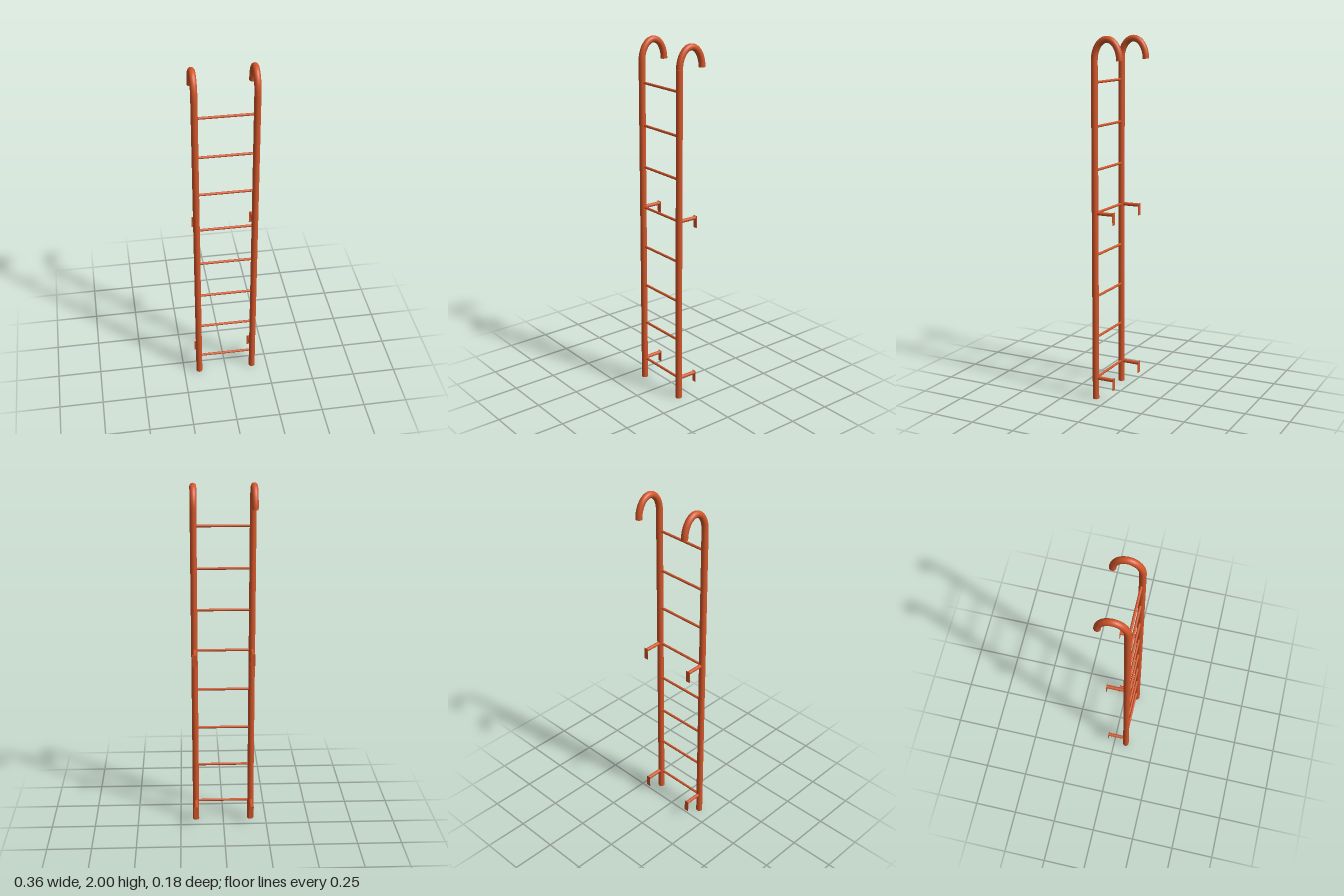
import * as THREE from 'three';

const RAIL_X = 0.16, RAIL_Z = 0.074, RAIL_R = 0.018;
const BEND_Y = 1.872, BEND_H = 0.11;

export function createModel() {
  const ladder = new THREE.Group();
  ladder.name = 'hookLadder';
  const paint = new THREE.MeshStandardMaterial({ color: 0xd2562a });

  const add = (parent, name, geometry, x, y, z) => {
    const mesh = new THREE.Mesh(geometry, paint);
    mesh.name = name;
    mesh.position.set(x, y, z);
    parent.add(mesh);
    return mesh;
  };

  // Elliptical bend that carries each rail over to the back
  const bend = [];
  for (let i = 0; i <= 16; i++) {
    const a = (i / 16) * Math.PI;
    bend.push(new THREE.Vector3(0, BEND_H * Math.sin(a), RAIL_Z * Math.cos(a)));
  }
  const hookGeo = new THREE.TubeGeometry(new THREE.CatmullRomCurve3(bend), 48, RAIL_R, 24);
  const railGeo = new THREE.CylinderGeometry(RAIL_R, RAIL_R, BEND_Y, 24);
  const capGeo = new THREE.CircleGeometry(RAIL_R, 24).rotateX(Math.PI / 2);

  // Wall brackets: a round arm with a thin plate hanging at its end
  const armGeo = new THREE.CylinderGeometry(0.01, 0.01, 0.112, 16).rotateX(Math.PI / 2);
  const plateGeo = new THREE.BoxGeometry(0.026, 0.068, 0.003);

  for (const side of [-1, 1]) {
    const rail = new THREE.Group();
    rail.name = side > 0 ? 'leftRail' : 'rightRail';
    rail.position.x = side * RAIL_X;
    add(rail, 'upright', railGeo, 0, BEND_Y / 2, RAIL_Z);
    add(rail, 'hook', hookGeo, 0, BEND_Y, 0);
    add(rail, 'hookEnd', capGeo, 0, BEND_Y, -RAIL_Z);
    for (const y of [0.122, 1.057]) {
      add(rail, 'bracketArm', armGeo, 0, y, 0.018);
      add(rail, 'bracketPlate', plateGeo, 0, y - 0.023, -0.038);
    }
    ladder.add(rail);
  }

  // Eight evenly spaced rungs
  const rungGeo = new THREE.CylinderGeometry(0.007, 0.007, RAIL_X * 2, 16).rotateZ(Math.PI / 2);
  for (let i = 0; i < 8; i++) {
    add(ladder, 'rung', rungGeo, 0, 0.122 + i * 0.2337, RAIL_Z - 0.002);
  }
  return ladder;
}
